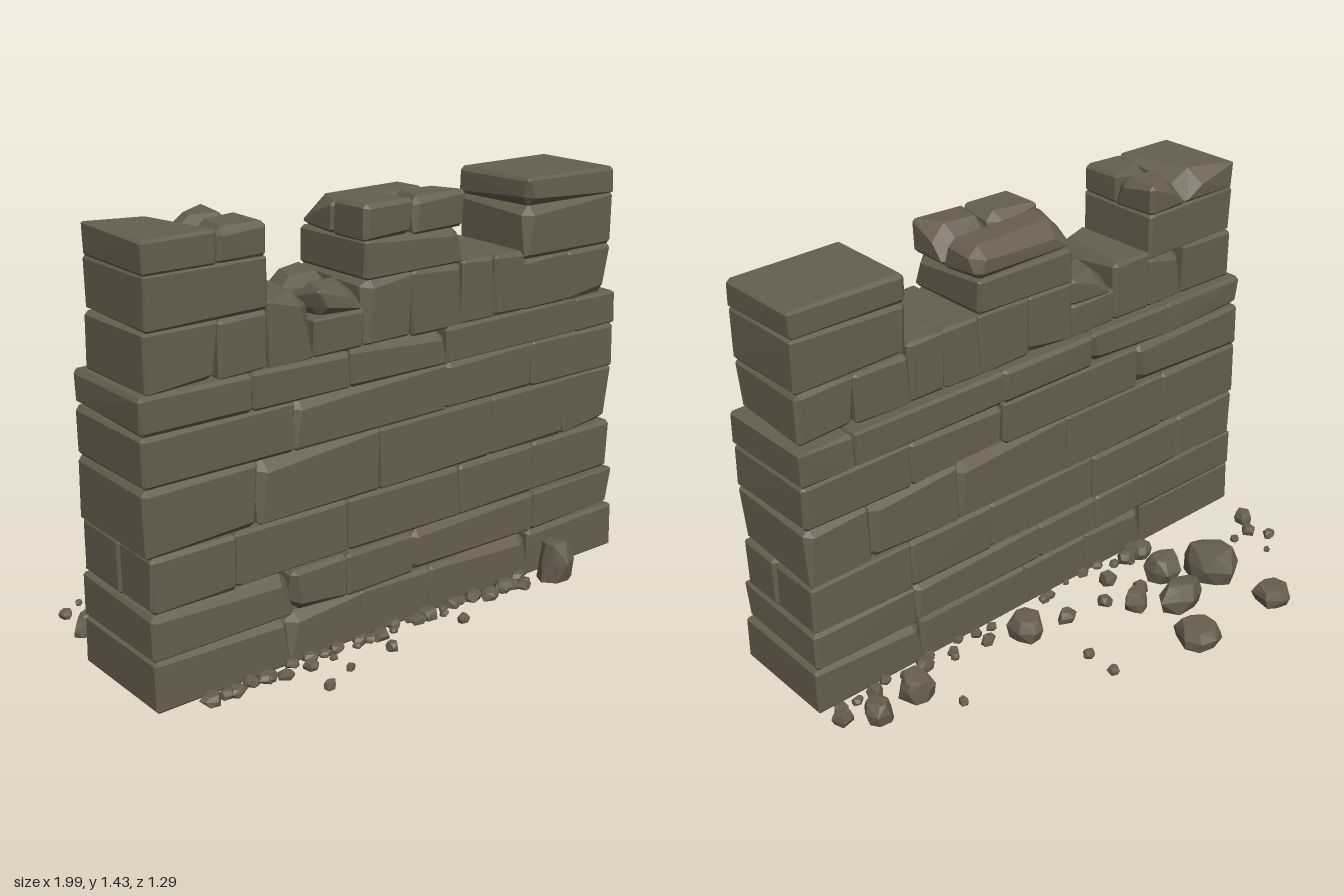
import * as THREE from 'three';
import { ConvexGeometry } from 'three/addons/geometries/ConvexGeometry.js';

// Small seeded random generator
function seeded(seed) {
  let s = seed >>> 0;
  return () => {
    s = (s * 1664525 + 1013904223) >>> 0;
    return s / 4294967296;
  };
}

export function createModel() {
  const rnd = seeded(41);
  const range = (a, b) => a + (b - a) * rnd();
  const stone = new THREE.MeshStandardMaterial({ color: 0x675e4e, flatShading: true });
  stone.name = 'stone';
  const root = new THREE.Group();
  root.name = 'ruinedWall';

  function group(name) {
    const g = new THREE.Group();
    g.name = name;
    root.add(g);
    return g;
  }

  function add(parent, name, points) {
    const mesh = new THREE.Mesh(new ConvexGeometry(points), stone);
    mesh.name = name;
    parent.add(mesh);
    return mesh;
  }

  // Worn stone block: a box with every corner bevelled by its own amount.
  // chips lists [sx, sy, sz, size] for corners that are broken off further.
  function block(parent, name, [x0, x1], [y0, y1], [z0, z1], chips = []) {
    const lo = [x0 - 0.003, Math.max(0, y0 - 0.003), z0];
    const hi = [x1 + 0.003, y1 + 0.001, z1];
    const pts = [];
    for (const sx of [-1, 1]) for (const sy of [-1, 1]) for (const sz of [-1, 1]) {
      const s = [sx, sy, sz];
      const chip = chips.find((c) => c[0] === sx && c[1] === sy && c[2] === sz);
      const grounded = y0 === 0 && sy < 0;
      const wear = grounded ? 0.006 : rnd() < 0.14 ? range(0.022, 0.04) : range(0.008, 0.018);
      for (let axis = 0; axis < 3; axis++) {
        const p = s.map((side, i) => {
          const size = hi[i] - lo[i];
          const base = chip ? chip[3] * range(0.8, 1.2) : wear * range(0.8, 1.2);
          const inset = i === axis ? (grounded && i === 1 ? 0 : range(0, 0.004)) : Math.min(base, size * 0.45);
          return side > 0 ? hi[i] - inset : lo[i] + inset;
        });
        pts.push(new THREE.Vector3(...p));
      }
    }
    return add(parent, name, pts);
  }

  // Courses of the main wall: heights, joints along x, front depth, depth joint of the end blocks
  const courses = [
    { y: [0, 0.165], x: [-1, -0.51, -0.22, 0.08, 0.55, 0.985], z: 0.43 },
    { y: [0.165, 0.31], x: [-1, -0.49, -0.27, 0.01, 0.57, 0.975], z: 0.425 },
    { y: [0.31, 0.49], x: [-0.99, -0.69, -0.25, 0.23, 0.58, 0.97], z: 0.41, split: 0.22 },
    { y: [0.49, 0.7], x: [-1, -0.6, -0.12, 0.37, 0.73, 0.97], z: 0.405 },
    { y: [0.7, 0.86], x: [-0.995, -0.46, 0.165, 0.56, 0.97], z: 0.4 },
    { y: [0.86, 0.98], x: [-1, -0.61, -0.24, 0.165, 0.77, 0.97], z: 0.4 },
  ];
  courses.forEach((c, n) => {
    const g = group(`wallCourse${n + 1}`);
    for (let i = 0; i < c.x.length - 1; i++) {
      const span = [c.x[i], c.x[i + 1]];
      const end = i === 0 || i === c.x.length - 2;
      const front = c.z - range(0, 0.006);
      if (c.split && end) {
        block(g, 'endBlockBack', span, c.y, [0, c.split + 0.002]);
        block(g, 'endBlockFront', span, c.y, [c.split - 0.002, front]);
      } else {
        block(g, 'wallBlock', span, c.y, [range(0, 0.005), front]);
      }
    }
  });

  // Battlements: narrower blocks set back from both faces
  const Z = [0.04, 0.385];
  const back = [Z[0], 0.22];
  const fore = [0.215, Z[1]];

  const left = group('rightMerlon');
  block(left, 'merlonBase', [-0.97, -0.72], [0.975, 1.16], Z);
  block(left, 'merlonBase', [-0.72, -0.545], [0.975, 1.16], Z);
  block(left, 'merlonMiddle', [-0.965, -0.545], [1.16, 1.325], Z);
  block(left, 'merlonCap', [-0.965, -0.72], [1.32, 1.425], Z, [[1, 1, -1, 0.07]]);
  block(left, 'merlonCapBack', [-0.72, -0.545], [1.32, 1.425], back, [[-1, 1, -1, 0.07], [-1, 1, 1, 0.05]]);
  block(left, 'merlonCapFront', [-0.72, -0.545], [1.32, 1.425], fore, [[-1, 1, -1, 0.04]]);

  const mid = group('middleMerlon');
  block(mid, 'merlonBase', [-0.175, 0.02], [0.975, 1.19], Z);
  block(mid, 'merlonBase', [0.02, 0.235], [0.975, 1.19], Z);
  block(mid, 'merlonMiddle', [-0.175, 0.235], [1.185, 1.31], Z);
  block(mid, 'merlonCapBack', [-0.175, 0.235], [1.305, 1.41], back, [[-1, 1, -1, 0.07], [1, 1, -1, 0.045]]);
  block(mid, 'merlonCapFront', [-0.175, 0.02], [1.305, 1.425], fore, [[1, 1, -1, 0.04]]);
  block(mid, 'merlonCapFront', [0.02, 0.235], [1.305, 1.425], fore, [[1, 1, -1, 0.06], [-1, 1, -1, 0.05]]);

  const right = group('leftMerlon');
  block(right, 'merlonBase', [0.52, 0.73], [0.975, 1.15], Z);
  block(right, 'merlonBase', [0.73, 0.94], [0.975, 1.15], Z);
  block(right, 'merlonMiddle', [0.52, 0.94], [1.15, 1.33], Z);
  block(right, 'merlonCap', [0.52, 0.94], [1.33, 1.425], Z);

  // Low parapet stones between the merlons
  const gaps = group('parapet');
  block(gaps, 'parapetBlock', [-0.545, -0.375], [0.975, 1.19], Z, [[1, 1, 1, 0.05]]);
  block(gaps, 'parapetBase', [-0.375, -0.175], [0.975, 1.1], Z);
  block(gaps, 'brokenBlockBack', [-0.352, -0.175], [1.09, 1.19], back,
    [[-1, 1, -1, 0.06], [1, 1, 1, 0.04], [-1, 1, 1, 0.04]]);
  block(gaps, 'brokenBlockFront', [-0.352, -0.175], [1.09, 1.185], [0.23, 0.375],
    [[1, 1, 1, 0.06], [-1, 1, -1, 0.04]]);
  block(gaps, 'parapetBlock', [0.235, 0.38], [0.975, 1.19], Z);
  block(gaps, 'parapetBlock', [0.38, 0.52], [0.975, 1.185], Z);

  // Rubble: convex angular stones resting on the ground
  function rock(parent, x, z, w, h, d) {
    const pts = [];
    const count = w > 0.09 ? 7 : 5;
    const turn = range(0, Math.PI);
    for (const [level, spread] of [[0, 0.9], [0.55, 1], [1, 0.72]]) {
      for (let i = 0; i < count; i++) {
        const a = turn + ((i + range(-0.3, 0.3)) / count) * Math.PI * 2;
        const r = spread * range(0.8, 1.08) / 2;
        const y = level === 0 ? 0 : h * level * range(0.82, 1);
        pts.push(new THREE.Vector3(x + Math.cos(a) * r * w, y, z + Math.sin(a) * r * d));
      }
    }
    add(parent, 'rock', pts);
  }

  // Fallen stones, each as x, z, width, height, depth
  const fallen = group('fallenStones');
  [
    [-0.6, -0.58, 0.15, 0.07, 0.14], [-0.23, -0.56, 0.18, 0.07, 0.17], [-0.56, -0.31, 0.2, 0.12, 0.24],
    [-0.41, -0.21, 0.15, 0.1, 0.13], [-0.33, -0.38, 0.19, 0.11, 0.12], [-0.2, -0.28, 0.1, 0.08, 0.09],
    [0.2, -0.13, 0.13, 0.09, 0.14], [0.69, -0.13, 0.13, 0.09, 0.13], [0.85, -0.14, 0.1, 0.08, 0.12],
    [0.61, 0.5, 0.14, 0.155, 0.13],
  ].forEach((r) => rock(fallen, ...r));

  // Smaller debris, each as x, z, size
  const debris = group('debris');
  [
    [-0.28, -0.22, 0.07], [-0.13, -0.19, 0.06], [-0.23, -0.1, 0.08], [-0.45, -0.06, 0.1], [-0.38, -0.05, 0.08],
    [0.04, -0.17, 0.08], [0.33, -0.08, 0.06], [0.12, -0.49, 0.05], [0.12, -0.37, 0.05], [-0.91, -0.3, 0.05],
    [-0.83, -0.36, 0.03], [-0.87, -0.23, 0.06], [-0.92, -0.16, 0.08], [-0.79, -0.23, 0.04], [0.6, -0.27, 0.04],
    [0.95, -0.08, 0.08], [0.58, -0.04, 0.08], [0.79, -0.04, 0.07], [0.47, -0.07, 0.04], [0.39, 0.46, 0.07],
    [0.48, 0.48, 0.05], [0.12, 0.55, 0.05], [-0.19, 0.55, 0.05], [-0.5, 0.62, 0.05], [-0.38, 0.57, 0.04],
    [0.72, 0.45, 0.06],
  ].forEach(([x, z, s]) => rock(debris, x, z, s, s * 0.6, s * range(0.7, 1.05)));

  // Crumbs along the foot of both faces
  const crumbs = group('crumbs');
  for (let i = 0; i < 34; i++) {
    const s = range(0.03, 0.075);
    rock(crumbs, -0.85 + (i / 33) * 1.35 + range(-0.02, 0.02), range(0.43, 0.49), s * 1.2, s * 0.5, s);
  }
  for (let i = 0; i < 22; i++) {
    const s = range(0.02, 0.05);
    rock(crumbs, -0.52 + (i / 21) * 1.45 + range(-0.03, 0.03), range(-0.05, 0), s * 1.2, s * 0.6, s);
  }

  return root;
}
